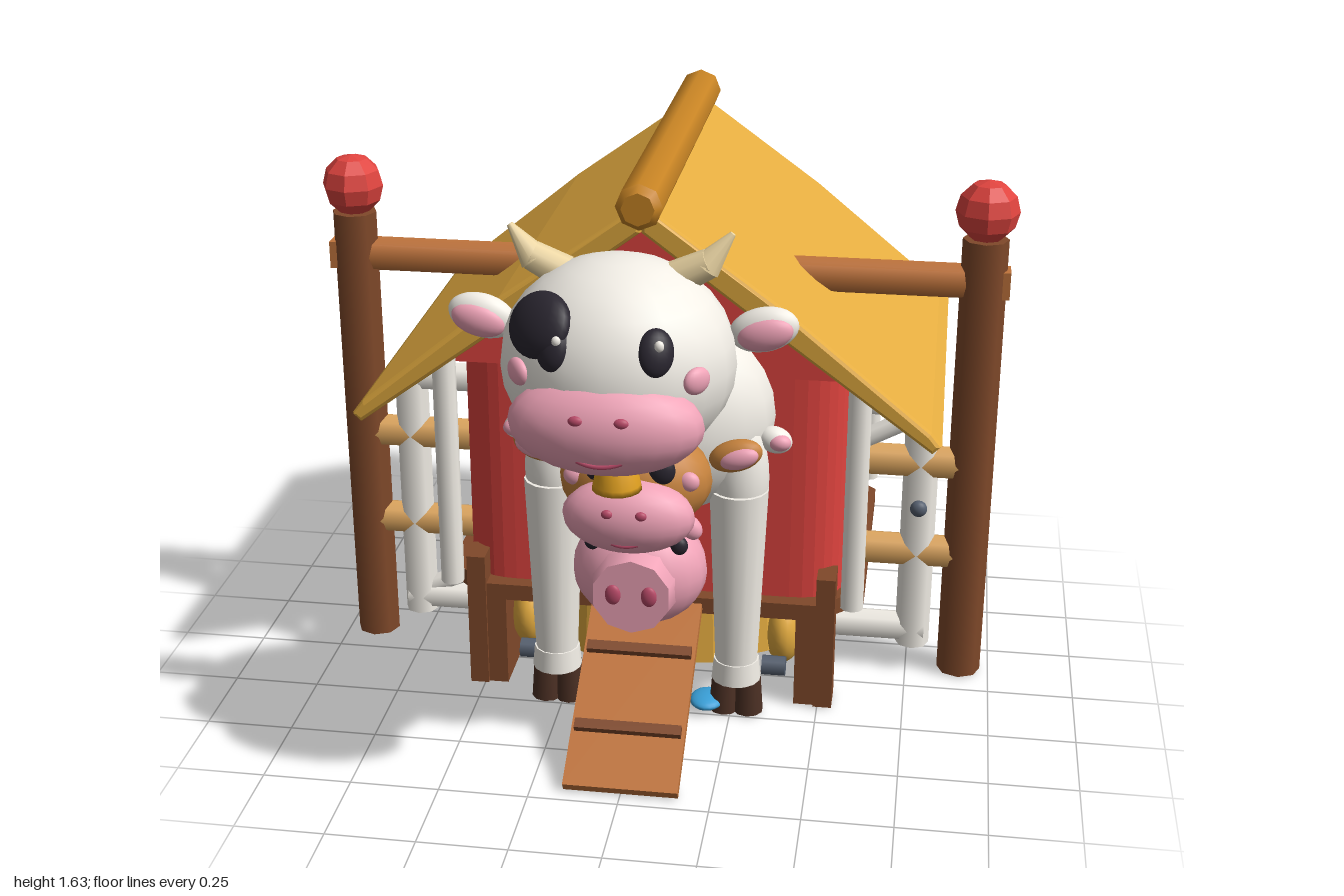
import * as THREE from 'three';

const C = { red: 0xe0443f, brown: 0x80492a, dark: 0x4c3024, wood: 0xc0743c, log: 0xe0a860, gold: 0xe4ac40, ridge: 0xc88424,
  white: 0xf2eee6, pink: 0xf0a4b8, rose: 0xb84a68, cream: 0xecd6a4, black: 0x2a2630, tan: 0xc8843e, steel: 0x566070, blue: 0x3aa0d8 };
const V = (x, y, z) => new THREE.Vector3(x, y, z);

export function createModel() {
  const model = new THREE.Group();
  const add = (name, geo, color, pos = [0, 0, 0], flat = false, parent = model) => {
    const m = new THREE.Mesh(geo, new THREE.MeshStandardMaterial({ color, flatShading: flat }));
    m.name = name;
    m.position.set(...pos);
    parent.add(m);
    return m;
  };
  const box = (name, size, pos, color) => add(name, new THREE.BoxGeometry(...size), color, pos);
  const blob = (name, pos, r, color, parent = model, rot = [0, 0, 0]) => {
    const m = add(name, new THREE.SphereGeometry(1, 20, 14), color, pos, false, parent);
    m.scale.set(...r);
    m.rotation.set(...rot);
    return m;
  };
  // Cylinder or cone running between two points
  const rod = (name, a, b, r0, r1, color, sides = 10, parent = model) => {
    const p = V(...a), q = V(...b), d = q.clone().sub(p);
    const m = add(name, new THREE.CylinderGeometry(r1, r0, d.length(), sides), color, p.clone().add(q).multiplyScalar(0.5).toArray(), false, parent);
    m.quaternion.setFromUnitVectors(V(0, 1, 0), d.normalize());
    return m;
  };
  const polygon = pts => new THREE.Shape(pts.map(p => new THREE.Vector2(...p)));
  const extrude = (name, shape, depth, color, bevel = {}) =>
    add(name, new THREE.ExtrudeGeometry(shape, { depth, bevelEnabled: false, curveSegments: 8, ...bevel }), color);
  // Upright block between two heights; corners are rounded or cut
  const block = (name, hx, z0, z1, c, y0, y1, color, rounded) => {
    const s = new THREE.Shape();
    const corner = (cx, cy, ex, ey) => rounded ? s.quadraticCurveTo(cx, cy, ex, ey) : s.lineTo(ex, ey);
    s.moveTo(-hx + c, -z1);
    s.lineTo(hx - c, -z1);
    corner(hx, -z1, hx, -z1 + c);
    s.lineTo(hx, -z0 - c);
    corner(hx, -z0, hx - c, -z0);
    s.lineTo(-hx + c, -z0);
    corner(-hx, -z0, -hx, -z0 - c);
    s.lineTo(-hx, -z1 + c);
    corner(-hx, -z1, -hx + c, -z1);
    const m = extrude(name, s, y1 - y0, color);
    m.rotation.x = -Math.PI / 2;
    m.position.y = y0;
  };

  // Barn shell
  block('floor', 0.62, -0.8, 0.16, 0.13, 0.29, 0.34, C.brown, false);
  block('barnWalls', 0.565, -0.735, 0.115, 0.16, 0.34, 1.04, C.red, true);
  const gable = [[-0.56, 1.03], [0.56, 1.03], [0.56, 1.07], [0, 1.5], [-0.56, 1.07]];
  extrude('gable', polygon(gable), 0.88, C.red).position.z = -0.75;
  rod('ridgeLog', [0, 1.57, -0.96], [0, 1.57, 0.33], 0.064, 0.064, C.ridge, 8);
  for (const [a, b] of [[0.33, 0.355], [-0.96, -0.985]]) rod('ridgeEnd', [0, 1.57, a], [0, 1.57, b], 0.064, 0.045, C.ridge, 8);
  rod('crossBeam', [-0.92, 1.25, -0.14], [0.92, 1.25, -0.14], 0.052, 0.052, C.wood, 8);

  for (const s of [-1, 1]) {
    // Slightly bowed roof slope with rounded edges
    const profile = [[0, 1.49], [0.3, 1.265], [0.795, 0.9], [0.82, 0.925], [0.79, 0.962], [0.39, 1.29], [0, 1.57]];
    const bevel = { bevelEnabled: true, bevelSize: 0.012, bevelOffset: -0.012, bevelThickness: 0.02, bevelSegments: 2 };
    const roof = extrude('roofSlope', polygon(profile.map(([x, y]) => [s * x, y])), 1.2, C.gold, bevel);
    roof.position.z = -0.91;
    for (const z of [0.15, -0.77]) rod('cornerPillar', [s * 0.59, 0.34, z], [s * 0.59, 1.05, z], 0.034, 0.034, C.white);

    // Tall posts, skirts and short supports
    rod('tallPost', [s * 0.91, 0.01, -0.13], [s * 0.91, 1.38, -0.13], 0.065, 0.065, C.brown, 8);
    add('postBall', new THREE.SphereGeometry(0.09, 8, 6), C.red, [s * 0.91, 1.46, -0.13], true);
    box('beamTenon', [0.06, 0.08, 0.065], [s * 0.955, 1.25, -0.135], C.wood);
    box('skirt', [0.06, 0.28, 0.56], [s * 0.46, 0.15, -0.12], C.brown);
    box('frontSupport', [0.055, 0.42, 0.1], [s * 0.515, 0.22, 0.12], C.brown);
    rod('backSupport', [s * 0.5, 0.01, -0.66], [s * 0.5, 0.3, -0.66], 0.04, 0.04, C.brown, 8);

    // Side fences
    rod('gatePost', [s * 0.765, 0.09, -0.13], [s * 0.765, 0.93, -0.13], 0.051, 0.051, C.white, 8);
    for (const y of [0.14, 0.875]) rod('gateRail', [s * 0.5, y, -0.13], [s * 0.8, y, -0.13], 0.045, 0.045, C.white, 8);
    for (const y of [0.4, 0.69]) rod('fenceLog', [s * 0.5, y, -0.13], [s * 0.9, y, -0.13], 0.05, 0.05, C.log, 8);
  }
  rod('gateBrace', [-0.73, 0.17, -0.13], [-0.46, 0.29, -0.13], 0.03, 0.03, C.white, 8);
  rod('gateBrace', [0.5, 0.7, -0.13], [0.74, 0.83, -0.13], 0.03, 0.03, C.white, 8);
  blob('latch', [0.765, 0.56, -0.075], [0.025, 0.025, 0.02], C.steel);

  // Hay nest under the floor
  add('hayNest', new THREE.CylinderGeometry(0.43, 0.44, 0.16, 14), C.gold, [0, 0.21, -0.14], true).scale.z = 0.76;
  for (const s of [-1, 1]) {
    blob('hayTuft', [s * 0.385, 0.18, 0], [0.06, 0.11, 0.1], C.gold);
    box('underRail', [0.03, 0.02, 0.24], [s * 0.15, 0.125, -0.13], C.red);
    rod('nestPeg', [s * 0.33, 0.1, 0.1], [s * 0.4, 0.1, 0.1], 0.03, 0.03, C.steel, 8);
    rod('nestPeg', [s * 0.3, 0.1, -0.44], [s * 0.36, 0.1, -0.44], 0.025, 0.025, C.steel, 8);
  }
  blob('puddle', [0.18, 0.04, 0.22], [0.05, 0.02, 0.06], C.blue);

  // Ramp with cleats
  const ramp = new THREE.Group();
  ramp.name = 'ramp';
  ramp.position.set(0, 0.175, 0.45);
  ramp.rotation.x = 0.55;
  model.add(ramp);
  add('rampBoard', new THREE.BoxGeometry(0.32, 0.03, 0.6), C.wood, [0, 0, 0], false, ramp);
  for (const z of [-0.13, 0.12]) add('rampCleat', new THREE.BoxGeometry(0.3, 0.025, 0.03), C.brown, [0, 0.025, z], false, ramp);

  // Cow body, neck, tail
  const cow = new THREE.Group();
  cow.name = 'cow';
  model.add(cow);
  const body = add('cowBody', new THREE.CapsuleGeometry(0.34, 0.52, 8, 24), C.white, [0, 0.92, -0.22], false, cow);
  body.rotation.x = Math.PI / 2;
  blob('chest', [0, 0.92, 0.13], [0.355, 0.31, 0.25], C.white, cow);
  blob('neck', [0, 1.1, 0.39], [0.22, 0.235, 0.19], C.white, cow);
  blob('rumpSpot', [0.13, 1.07, -0.7], [0.1, 0.09, 0.08], C.black, cow);
  blob('backSpot', [0.08, 1.225, 0.12], [0.07, 0.03, 0.06], C.black, cow);
  const tail = new THREE.CatmullRomCurve3([V(0, 1.09, -0.76), V(0, 1.11, -0.83), V(0, 1.0, -0.89), V(0, 0.74, -0.94)]);
  add('tail', new THREE.TubeGeometry(tail, 16, 0.018, 8), C.white, [0, 0, 0], false, cow);
  blob('tailTuft', [0, 0.69, -0.94], [0.045, 0.085, 0.045], C.black, cow);
  for (const s of [-1, 1]) for (const [x, z] of [[0.265, 0.22], [0.23, -0.56]]) {
    rod('leg', [s * x, 0.15, z], [s * x, 0.73, z], 0.06, 0.084, C.white, 14, cow);
    blob('shoulder', [s * x, 0.76, z - 0.01 * Math.sign(z)], [0.083, 0.19, 0.083], C.white, cow);
    rod('legCuff', [s * x, 0.125, z], [s * x, 0.19, z], 0.072, 0.066, C.white, 14, cow);
    for (const t of [-1, 1]) rod('hoof', [s * x + t * 0.036, 0.01, z - 0.01], [s * x + t * 0.034, 0.135, z - 0.01], 0.044, 0.037, C.dark, 10, cow);
  }

  // Cow head
  blob('cowHead', [0, 1.28, 0.67], [0.3, 0.27, 0.27], C.white, cow);
  blob('cowMuzzle', [0, 1.185, 0.87], [0.245, 0.13, 0.12], C.pink, cow);
  blob('eyePatch', [-0.165, 1.42, 0.835], [0.095, 0.085, 0.045], C.black, cow, [-0.6, -0.55, -0.3]);
  const smile = (name, w, y, z, parent) => {
    const c = new THREE.QuadraticBezierCurve3(V(-w, y, z - w * 0.12), V(0, y - w * 0.5, z + 0.01), V(w, y, z - w * 0.12));
    add(name, new THREE.TubeGeometry(c, 10, 0.006, 6), C.rose, [0, 0, 0], false, parent);
  };
  smile('cowMouth', 0.07, 1.13, 0.97, cow);
  for (const s of [-1, 1]) {
    blob('cowEye', [s * 0.125, 1.38, 0.88], [0.046, 0.06, 0.03], C.black, cow, [-0.4, s * 0.4, 0]);
    blob('eyeGlint', [s * 0.125 + 0.012, 1.405, 0.901], [0.012, 0.014, 0.01], C.white, cow);
    blob('cowNostril', [s * 0.055, 1.23, 0.972], [0.02, 0.014, 0.012], C.rose, cow);
    blob('cowCheek', [s * 0.22, 1.3, 0.845], [0.04, 0.035, 0.02], C.pink, cow, [0, s * 0.85, 0]);
    blob('cowEar', [s * 0.36, 1.355, 0.615], [0.09, 0.058, 0.04], C.white, cow, [0, 0, s * 0.25]);
    blob('earInner', [s * 0.365, 1.35, 0.637], [0.072, 0.043, 0.028], C.pink, cow, [0, 0, s * 0.25]);
    rod('hornBase', [s * 0.14, 1.485, 0.63], [s * 0.225, 1.53, 0.635], 0.045, 0.038, C.cream, 10, cow);
    rod('hornTip', [s * 0.215, 1.52, 0.635], [s * 0.28, 1.605, 0.625], 0.04, 0.008, C.cream, 10, cow);
  }

  // Collar bell
  const bell = [[0, 0], [0.065, 0], [0.062, 0.015], [0.054, 0.055], [0.038, 0.085], [0, 0.1]].map(p => new THREE.Vector2(...p));
  add('bell', new THREE.LatheGeometry(bell, 16), 0xe0a020, [0, 0.938, 0.71], false, cow);

  // Calf peeking out below the cow
  const calf = new THREE.Group();
  calf.name = 'calf';
  model.add(calf);
  blob('calfHead', [0, 0.83, 0.4], [0.21, 0.15, 0.14], C.tan, calf);
  blob('calfBlaze', [0, 0.92, 0.45], [0.06, 0.065, 0.07], C.white, calf);
  blob('calfMuzzle', [0, 0.775, 0.53], [0.18, 0.105, 0.09], C.pink, calf);
  smile('calfMouth', 0.055, 0.73, 0.6, calf);
  for (const s of [-1, 1]) {
    blob('calfEye', [s * 0.085, 0.9, 0.505], [0.038, 0.042, 0.025], C.black, calf);
    blob('calfNostril', [s * 0.045, 0.81, 0.608], [0.016, 0.013, 0.01], C.rose, calf);
    blob('calfCheek', [s * 0.155, 0.86, 0.48], [0.03, 0.028, 0.02], C.pink, calf);
    blob('calfEar', [s * 0.27, 0.9, 0.38], [0.075, 0.045, 0.035], C.tan, calf, [0, 0, s * 0.3]);
    blob('calfEarInner', [s * 0.28, 0.9, 0.4], [0.055, 0.03, 0.024], C.pink, calf, [0, 0, s * 0.3]);
    blob('lambEar', [s * 0.36, 0.875, 0.2], [0.05, 0.038, 0.035], C.white, calf, [0, 0, -s * 0.3]);
    blob('lambEarInner', [s * 0.375, 0.875, 0.22], [0.032, 0.024, 0.024], C.pink, calf);
  }

  // Pig below the calf
  const pig = new THREE.Group();
  pig.name = 'pig';
  model.add(pig);
  blob('pigHead', [0, 0.52, 0.33], [0.19, 0.165, 0.15], C.pink, pig);
  rod('pigSnout', [0, 0.51, 0.4], [0, 0.51, 0.5], 0.13, 0.11, C.pink, 10, pig);
  for (const s of [-1, 1]) {
    blob('pigNostril', [s * 0.05, 0.515, 0.5], [0.022, 0.03, 0.012], C.rose, pig);
    blob('pigEye', [s * 0.12, 0.63, 0.405], [0.025, 0.027, 0.02], C.black, pig);
    blob('pigEar', [s * 0.13, 0.655, 0.33], [0.05, 0.035, 0.03], C.pink, pig, [0, 0, -s * 0.6]);
  }
  return model;
}
